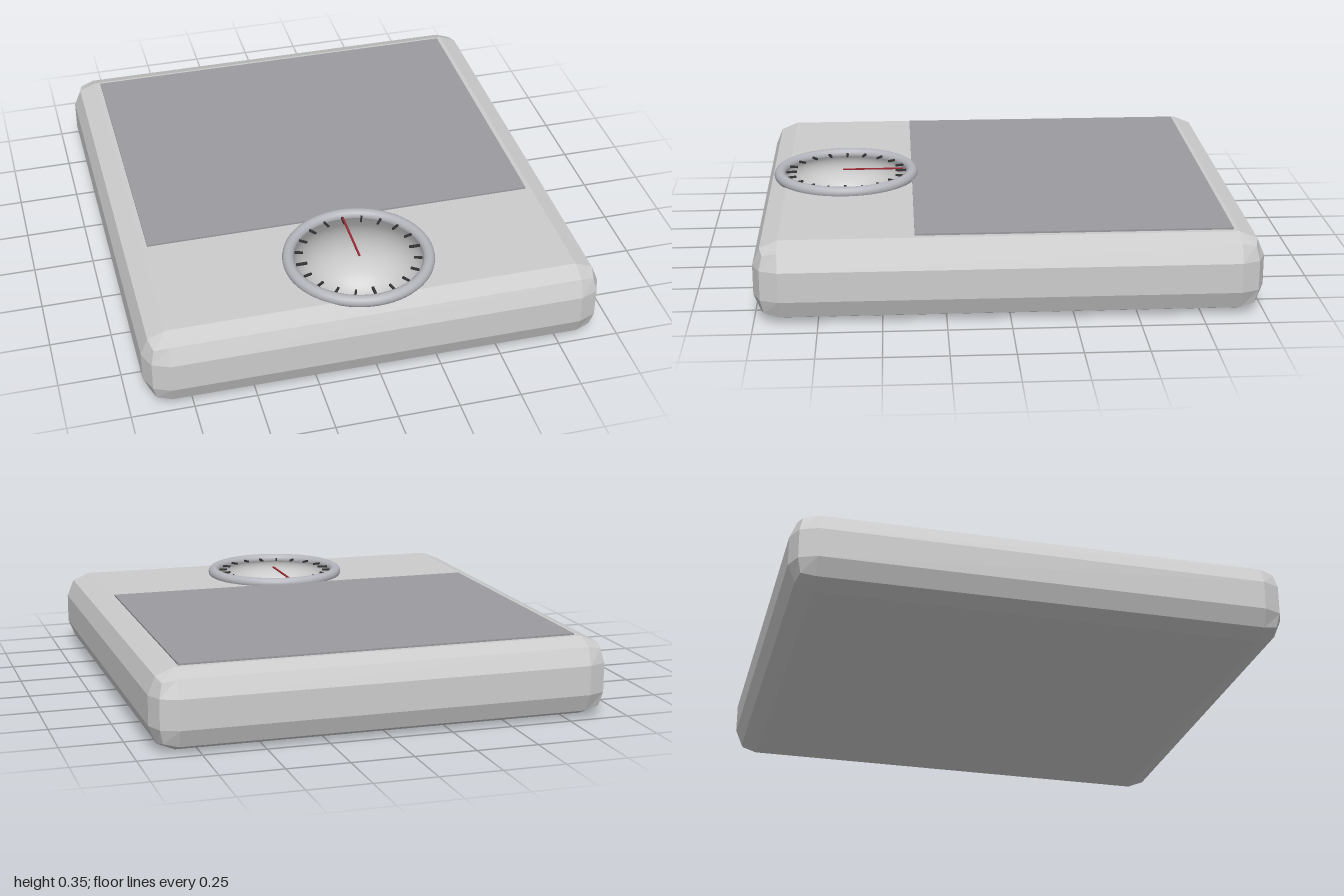
import * as THREE from 'three';

const HALF = new THREE.Vector3(0.933, 0.16, 1.0);
const BEVEL = 0.1;
const DIAL_Z = 0.651;

function material(color, flat = false) {
  return new THREE.MeshStandardMaterial({ color, flatShading: flat });
}

function part(name, geometry, mat) {
  const mesh = new THREE.Mesh(geometry, mat);
  mesh.name = name;
  return mesh;
}

// Box whose edges and corners are rounded by two flat facets
function facetedBox(half, radius) {
  const geometry = new THREE.BoxGeometry(2, 2, 2, 3, 3, 3);
  const pos = geometry.attributes.position;
  const v = new THREE.Vector3();
  const offset = new THREE.Vector3();
  for (let i = 0; i < pos.count; i++) {
    v.fromBufferAttribute(pos, i);
    offset.set(Math.trunc(v.x * 1.01), Math.trunc(v.y * 1.01), Math.trunc(v.z * 1.01));
    offset.setLength(radius);
    for (const a of ['x', 'y', 'z']) v[a] = Math.sign(v[a]) * (half[a] - radius) + offset[a];
    pos.setXYZ(i, v.x, v.y, v.z);
  }
  geometry.computeVertexNormals();
  return geometry;
}

// Shallow dial face that keeps the round shading of a full dome
function dialDome(radius, height) {
  const geometry = new THREE.SphereGeometry(radius, 48, 16, 0, Math.PI * 2, 0, Math.PI / 2);
  const pos = geometry.attributes.position;
  for (let i = 0; i < pos.count; i++) pos.setY(i, pos.getY(i) * height / radius);
  return geometry;
}

export function createModel() {
  const model = new THREE.Group();
  model.name = 'bathroomScale';

  // Body
  const body = part('body', facetedBox(HALF, BEVEL), material(0xcccccc, true));
  body.position.y = HALF.y;
  model.add(body);

  // Standing mat
  const mat = part('mat', new THREE.BoxGeometry(1.62, 0.02, 1.25), material(0x9a9a9f));
  mat.position.set(0, 0.317, -0.255);
  model.add(mat);

  // Dial
  const dial = new THREE.Group();
  dial.name = 'dial';
  dial.position.z = DIAL_Z;
  model.add(dial);

  const rim = part('dialRim', new THREE.TorusGeometry(0.283, 0.024, 16, 64), material(0xb4b4bc));
  rim.rotation.x = -Math.PI / 2;
  rim.position.y = 0.33;
  dial.add(rim);

  const face = part('dialFace', dialDome(0.265, 0.02), material(0xcccccc));
  face.position.y = 0.32;
  dial.add(face);

  // Tick marks, heavier at each quarter
  const dark = material(0x333333);
  for (let i = 0; i < 20; i++) {
    const major = i % 5 === 0;
    const length = major ? 0.045 : 0.034;
    const tick = part('tick', new THREE.BoxGeometry(major ? 0.01 : 0.008, 0.008, length), dark);
    const angle = (i / 20) * Math.PI * 2;
    const r = 0.257 - length / 2;
    tick.position.set(Math.sin(angle) * r, 0.335, Math.cos(angle) * r);
    tick.rotation.y = angle;
    dial.add(tick);
  }

  // Needle pointing to the back
  const needle = part('needle', new THREE.BoxGeometry(0.008, 0.005, 0.26), material(0x9a2a35));
  needle.position.set(0, 0.343, -0.115);
  dial.add(needle);

  return model;
}
